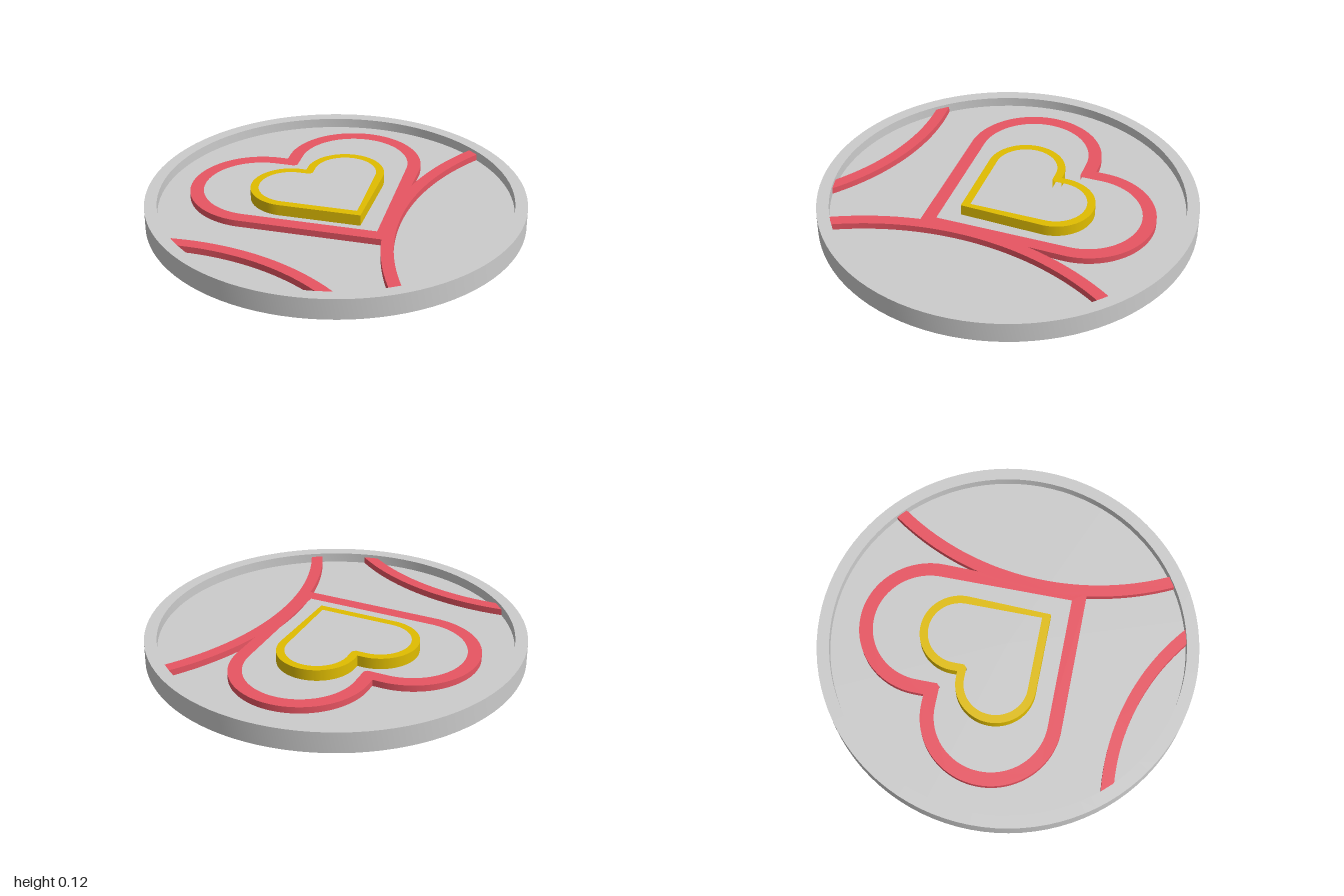
import * as THREE from 'three';
import { toCreasedNormals } from 'three/addons/utils/BufferGeometryUtils.js';

const RIM_TOP = 0.113, FLOOR = 0.06;
const rad = THREE.MathUtils.degToRad;

function makeMesh(name, geometry, color) {
  const material = new THREE.MeshStandardMaterial({ color });
  const mesh = new THREE.Mesh(toCreasedNormals(geometry, rad(30)), material);
  mesh.name = name;
  return mesh;
}

// Stand a plan shape drawn in (x, z) on the floor, slightly sunk into it
function raise(shape, top) {
  const depth = top - FLOOR + 0.01;
  return new THREE.ExtrudeGeometry(shape, { depth, bevelEnabled: false, curveSegments: 40 })
    .rotateX(Math.PI / 2)
    .translate(0, top, 0);
}

// Heart outline: two lobes of radius r joined by 45 degree tangents,
// with the tip and the notch blunted by the given half widths
function traceHeart(path, cx, cz, r, tipCut, notchCut) {
  const tip = cx + cz + r * Math.SQRT2;
  const notch = cx + cz - r * Math.SQRT2;
  path.moveTo(tipCut, tip - tipCut);
  path.absarc(cx, cz, r, rad(45), rad(-135), true);
  path.lineTo(notchCut, notch - notchCut);
  path.lineTo(-notchCut, notch - notchCut);
  path.absarc(-cx, cz, r, rad(-45), rad(-225), true);
  path.lineTo(-tipCut, tip - tipCut);
  path.closePath();
  return path;
}

function heartBand(cx, cz, outer, inner, top) {
  const shape = traceHeart(new THREE.Shape(), cx, cz, outer, 0.012, 0.001);
  shape.holes.push(traceHeart(new THREE.Path(), cx, cz, inner, 0.001, 0.011));
  return raise(shape, top);
}

// Curved strip between two concentric arcs, its ends buried in the rim
function arcBand(cx, cz, outer, inner, from, to, top) {
  const shape = new THREE.Shape();
  shape.absarc(cx, cz, outer, rad(from), rad(to), false);
  shape.absarc(cx, cz, inner, rad(to), rad(from), true);
  shape.closePath();
  return raise(shape, top);
}

export function createModel() {
  const group = new THREE.Group();
  group.name = 'heartDisc';
  const grey = 0xcccccc, red = 0xe85562, yellow = 0xe0bd00;
  const redTop = 0.095, yellowTop = 0.12;

  // Round tray with a raised rim
  const profile = [[0, 0], [1, 0], [1, RIM_TOP], [0.935, RIM_TOP], [0.935, FLOOR], [0, FLOOR]]
    .map(([x, y]) => new THREE.Vector2(x, y));
  group.add(makeMesh('tray', new THREE.LatheGeometry(profile, 96), grey));

  // Nested hearts
  group.add(makeMesh('outerHeart', heartBand(0.295, -0.303, 0.367, 0.295, redTop), red));
  group.add(makeMesh('innerHeart', heartBand(0.17, -0.19, 0.21, 0.167, yellowTop), yellow));

  // Sweeping strips
  group.add(makeMesh('longStrip', arcBand(1.18, 1.38, 1.5, 1.436, -162.4, -98.6, redTop), red));
  group.add(makeMesh('shortStrip', arcBand(-1.725, 0.914, 1.26, 1.197, -52, -4, redTop), red));

  return group;
}
